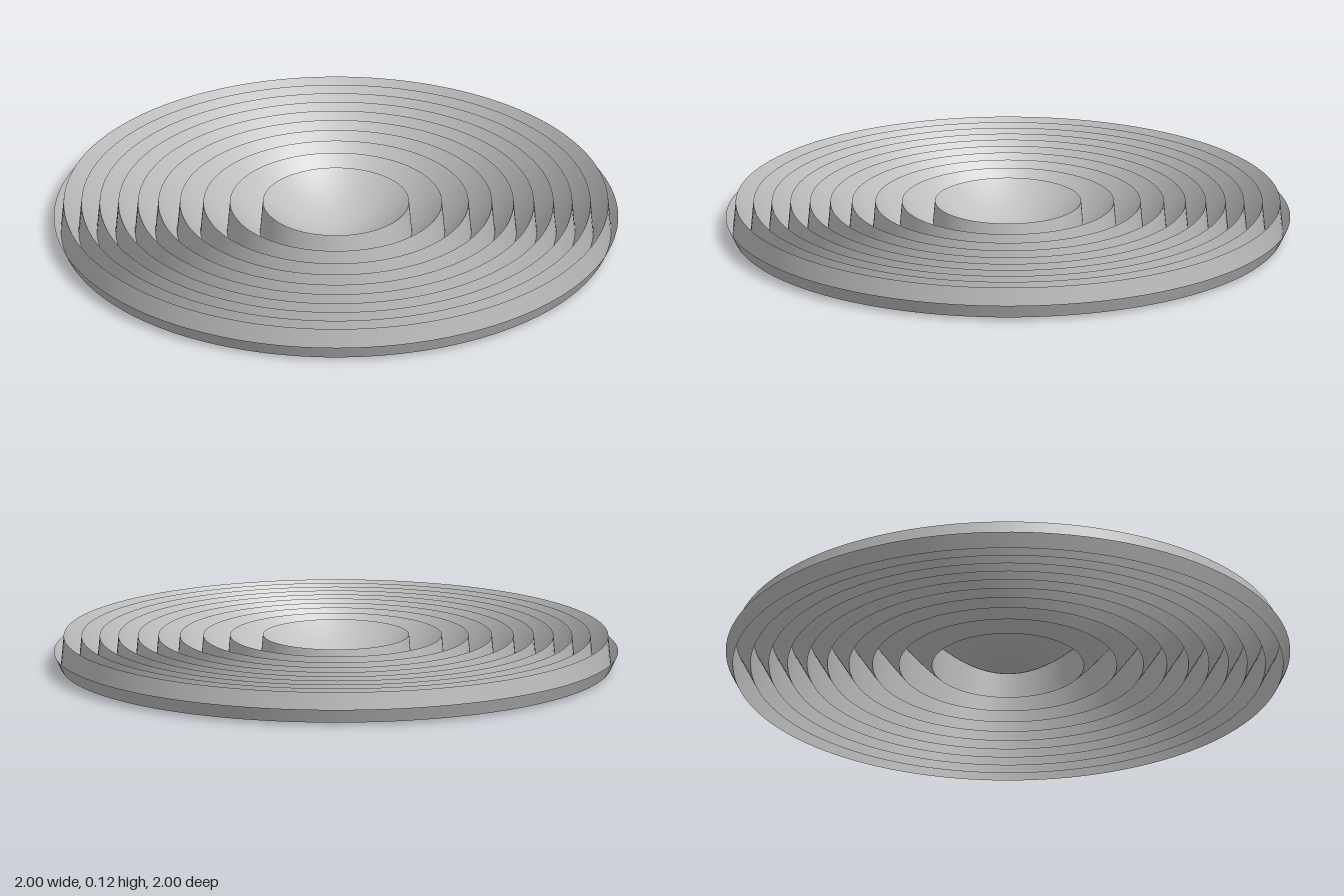
import * as THREE from 'three';

// Stepped concave reflector: a hyperbolic dish folded into concentric rings.
const STEP = 0.128;      // height of one fold
const A = 0.00271, B = 0.067;
const DRAFT = 0.005;     // half the radial width of each step wall
const RINGS = 10;
const SEGMENTS = 144;

// radius at which the unfolded dish reaches n steps, and its inverse
const radiusAt = (n) => Math.sqrt(A * n * n + B * n);
const levelAt = (r) => (-B + Math.sqrt(B * B + 4 * A * r * r)) / (2 * A);

export function createModel() {
  const group = new THREE.Group();
  group.name = 'steppedReflector';
  const grey = new THREE.MeshStandardMaterial({ color: 0xc0c0c0, side: THREE.DoubleSide });
  grey.name = 'silverGrey';

  const point = (r, fold) => new THREE.Vector2(r, (levelAt(r) - fold) * STEP);
  const addLathe = (name, points) => {
    const mesh = new THREE.Mesh(new THREE.LatheGeometry(points, SEGMENTS), grey);
    mesh.name = name;
    group.add(mesh);
  };

  for (let k = 0; k <= RINGS; k++) {
    // sloping reflective band (the first one is the central dish)
    const inner = k === 0 ? 0 : radiusAt(k) + DRAFT;
    const outer = k === RINGS ? 1 : radiusAt(k + 1) - DRAFT;
    const divisions = k === 0 ? 20 : 5;
    const band = [];
    for (let i = 0; i <= divisions; i++) {
      band.push(point(inner + (outer - inner) * i / divisions, k));
    }
    addLathe(k === 0 ? 'centralDish' : `ringBand${k}`, band);

    // steep wall dropping from this crest to the next valley
    if (k < RINGS) {
      addLathe(`stepWall${k + 1}`, [point(radiusAt(k + 1) + DRAFT, k + 1), point(outer, k)]);
    }
  }
  return group;
}
